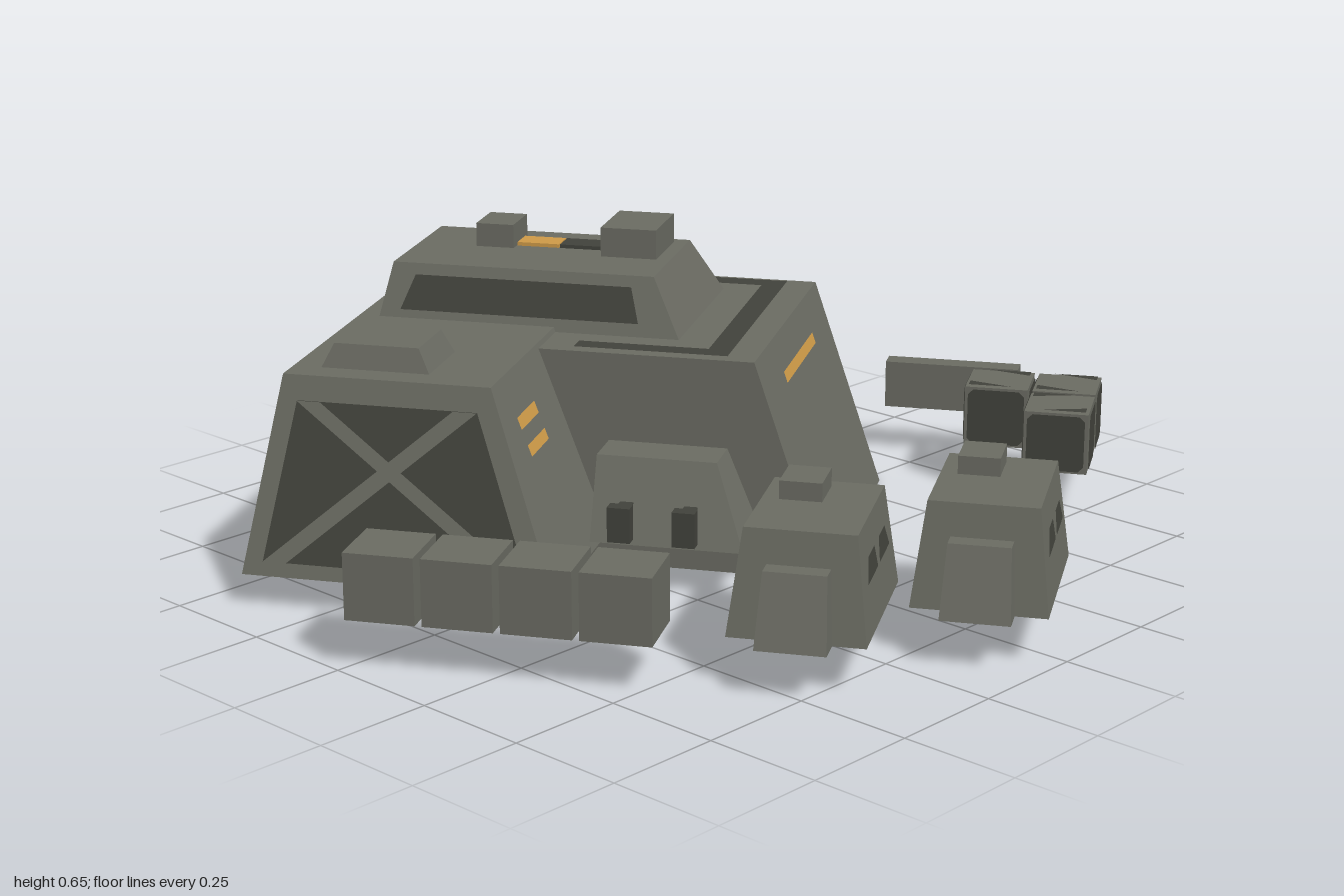
import * as THREE from 'three';

const paint = (name, color) => {
  const m = new THREE.MeshStandardMaterial({ color, side: THREE.DoubleSide });
  m.name = name;
  return m;
};

export function createModel() {
  const hull = paint('hull grey', 0x6b6c63);
  const dark = paint('dark grey', 0x42433c);
  const amber = paint('amber', 0xcf9b48);

  const model = new THREE.Group();
  model.name = 'fieldBase';
  const base = new THREE.Group();
  base.name = 'baseLayout';
  base.rotation.y = Math.PI / 6;
  model.add(base);

  // Mesh from flat convex polygons
  function polys(parent, name, mat, list) {
    const pos = [];
    for (const p of list)
      for (let i = 1; i < p.length - 1; i++) pos.push(...p[0], ...p[i], ...p[i + 1]);
    const g = new THREE.BufferGeometry();
    g.setAttribute('position', new THREE.Float32BufferAttribute(pos, 3));
    g.computeVertexNormals();
    const m = new THREE.Mesh(g, mat);
    m.name = name;
    parent.add(m);
    return m;
  }

  // Tapered shell, open underneath; b and t are [x0, x1, z0, z1]
  function shell(parent, name, mat, b, y0, t, y1) {
    const ring = (r, y) => [[r[0], y, r[2]], [r[0], y, r[3]], [r[1], y, r[3]], [r[1], y, r[2]]];
    const lo = ring(b, y0), hi = ring(t, y1), faces = [hi];
    for (let i = 0; i < 4; i++) {
      const j = (i + 1) % 4;
      faces.push([lo[i], lo[j], hi[j], hi[i]]);
    }
    return polys(parent, name, mat, faces);
  }

  function box(parent, name, mat, w, h, d, x, y, z) {
    const m = new THREE.Mesh(new THREE.BoxGeometry(w, h, d), mat);
    m.name = name;
    m.position.set(x, y, z);
    parent.add(m);
    return m;
  }

  // Painted polygon: map turns each [a, b] into a point on a face
  const decal = (parent, name, mat, map, ...list) =>
    polys(parent, name, mat, list.map(p => p.map(([a, b]) => map(a, b))));
  const rect = (a0, a1, b0, b1) => [[a0, b0], [a1, b0], [a1, b1], [a0, b1]];
  const slope = (y, y0, y1, s0, s1) => s0 + (s1 - s0) * (y - y0) / (y1 - y0);

  // Rear hall
  shell(base, 'rearHall', hull, [-0.588, 0.604, -0.805, -0.143], 0.07, [-0.497, 0.507, -0.733, -0.295], 0.475);
  const hallFront = (x, y) => [x, y, slope(y, 0.07, 0.475, -0.143, -0.295) + 0.004];
  const hallSide = off => (z, y) => [slope(y, 0.07, 0.475, -0.588, -0.497) - off, y, z];
  decal(base, 'hallStripes', amber, hallFront, rect(-0.432, -0.31, 0.37, 0.395), rect(-0.432, -0.31, 0.315, 0.338));
  decal(base, 'hallSidePanel', dark, hallSide(0.003), [[-0.76, 0.1], [-0.2, 0.1], [-0.32, 0.425], [-0.7, 0.425]]);
  decal(base, 'hallSideBraces', hull, hallSide(0.006),
    [[-0.76, 0.1], [-0.71, 0.1], [-0.32, 0.425], [-0.37, 0.425]],
    [[-0.25, 0.1], [-0.2, 0.1], [-0.65, 0.425], [-0.7, 0.425]]);
  shell(base, 'roofHatch', hull, [-0.437, -0.267, -0.673, -0.443], 0.475, [-0.425, -0.279, -0.648, -0.468], 0.525);

  // Front block with sloped front
  shell(base, 'frontBlock', hull, [-0.17, 0.501, -0.478, 0.328], 0, [-0.17, 0.501, -0.478, 0.171], 0.465);
  decal(base, 'frontStripe', amber,
    (x, y) => [x, y, slope(y, 0, 0.465, 0.328, 0.171) + 0.004], rect(0.007, 0.325, 0.372, 0.396));
  decal(base, 'roofTrim', dark, (x, z) => [x, 0.469, z],
    rect(-0.15, -0.105, -0.22, 0.06), rect(0.43, 0.478, -0.26, 0.06), rect(-0.15, 0.478, 0.06, 0.11));

  // Tower and its roof gear
  shell(base, 'tower', hull, [-0.04, 0.396, -0.69, -0.02], 0.465, [-0.004, 0.331, -0.663, -0.083], 0.59);
  decal(base, 'towerWindow', dark,
    (z, y) => [slope(y, 0.465, 0.59, -0.04, -0.004) - 0.004, y, z],
    [[-0.64, 0.493], [-0.11, 0.493], [-0.13, 0.567], [-0.61, 0.567]]);
  box(base, 'towerFrontBox', hull, 0.165, 0.065, 0.124, 0.224, 0.622, -0.176);
  box(base, 'towerRearBox', hull, 0.108, 0.052, 0.085, 0.224, 0.616, -0.487);
  box(base, 'towerAmberPlate', amber, 0.06, 0.008, 0.095, 0.224, 0.594, -0.395);
  box(base, 'towerDarkPlate', dark, 0.06, 0.008, 0.11, 0.224, 0.594, -0.29);

  // Mirrored side bays with twin nozzles
  for (const s of [1, -1]) {
    const bay = new THREE.Group();
    bay.name = s > 0 ? 'leftBay' : 'rightBay';
    bay.position.x = 0.166;
    base.add(bay);
    const span = (a, b) => (s > 0 ? [a, b] : [-b, -a]);
    shell(bay, 'bayShell', hull, [...span(0.33, 0.499), -0.14, 0.185], 0.105, [...span(0.33, 0.435), -0.14, 0.115], 0.275);
    for (const z of [-0.068, 0.068]) {
      box(bay, 'nozzleStem', dark, 0.1, 0.045, 0.028, s * 0.49, 0.165, z);
      box(bay, 'nozzleHead', dark, 0.03, 0.075, 0.048, s * 0.525, 0.16, z);
    }
  }

  // Two small bunkers
  for (const [x, z] of [[-0.586, 0.38], [-0.355, 0.695]]) {
    const b = new THREE.Group();
    b.name = 'bunker';
    b.position.set(x, 0, z);
    base.add(b);
    shell(b, 'bunkerShell', hull, [-0.184, 0.184, -0.136, 0.136], 0.1, [-0.15, 0.15, -0.11, 0.11], 0.312);
    shell(b, 'bunkerStep', hull, [-0.24, -0.12, -0.07, 0.07], 0.1, [-0.2, -0.12, -0.062, 0.062], 0.245);
    box(b, 'bunkerRoofBox', hull, 0.1, 0.04, 0.085, 0.071, 0.33, -0.033);
    decal(b, 'bunkerWindows', dark,
      (a, y) => [a, y, slope(y, 0.1, 0.312, 0.136, 0.11) + 0.004],
      [[-0.125, 0.205], [-0.015, 0.205], [-0.03, 0.252], [-0.095, 0.252]],
      [[0.005, 0.205], [0.115, 0.205], [0.085, 0.252], [0.02, 0.252]]);
  }

  // Row of plain crates
  for (let i = 0; i < 4; i++)
    box(base, 'plainCrate', hull, 0.142, 0.138, 0.142, -0.787, 0.171, -0.415 + i * 0.156);

  // Braced crates with dark panels
  const h = 0.064, c = 0.012, k = 0.098;
  for (const [x, z, flip] of [[0.57, 0.592, -1], [0.57, 0.745, -1], [0.413, 0.745, 1]]) {
    const crate = new THREE.Group();
    crate.name = 'bracedCrate';
    crate.position.set(x, 0.172, z);
    base.add(crate);
    box(crate, 'crateBody', hull, 0.142, 0.138, 0.142, 0, 0, 0);
    for (let i = 0; i < 4; i++)
      decal(crate, 'crateSidePanel', dark, (a, y) => [a, y, 0.074],
        [[-h + c, -h], [h - c, -h], [h, -h + c], [h, h - c], [h - c, h], [-h + c, h], [-h, h - c], [-h, -h + c]]
      ).rotation.y = i * Math.PI / 2;
    decal(crate, 'crateTopPanel', dark, (a, b) => [a, 0.073, b * flip],
      [[-h, h], [-h, h - k], [h - k, h]], [[h, -h], [h, k - h], [k - h, -h]]);
  }

  // Free-standing barrier
  box(base, 'barrier', hull, 0.05, 0.11, 0.313, 0.743, 0.168, 0.459);

  return model;
}
